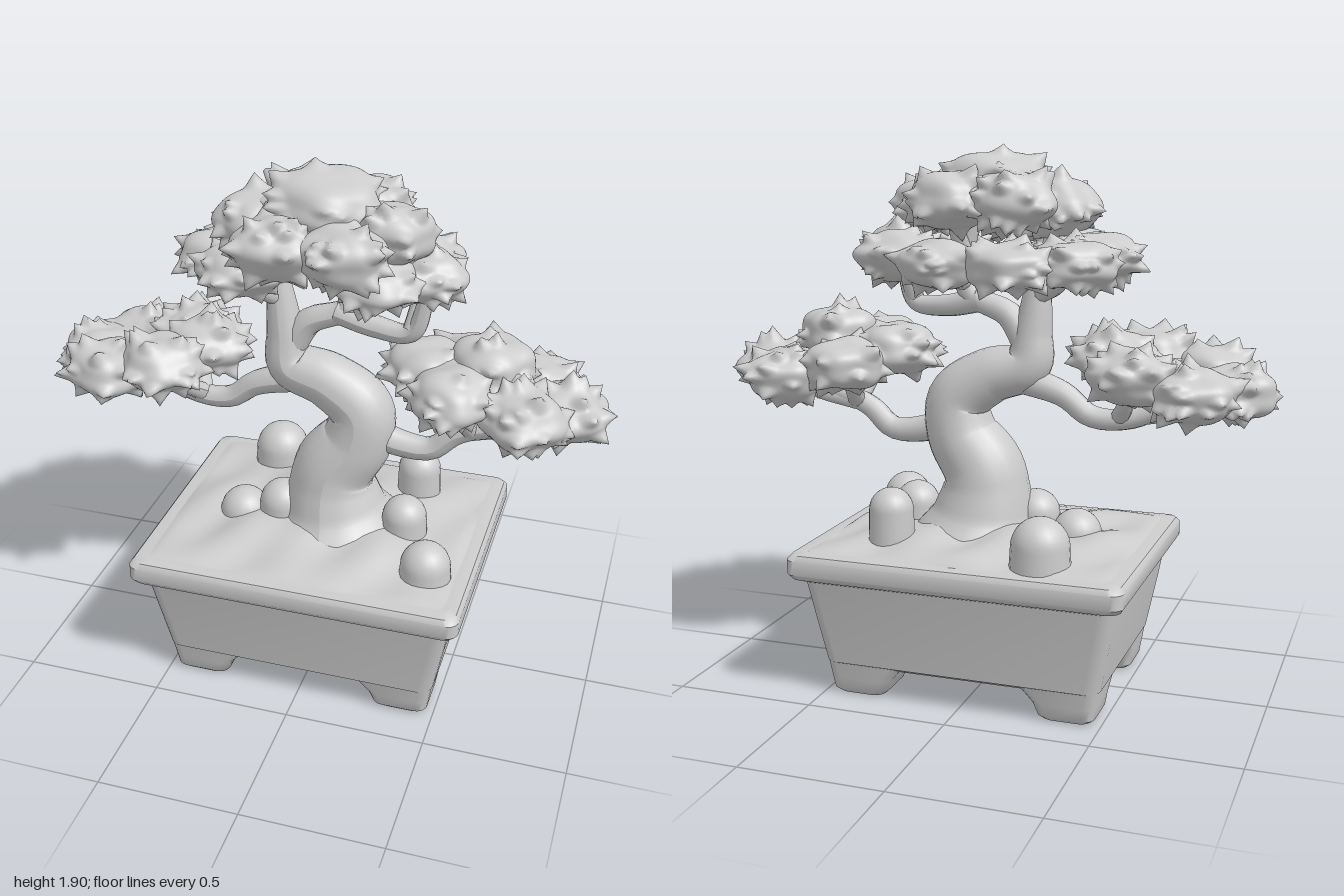
import * as THREE from 'three';
import { mergeVertices, toCreasedNormals } from 'three/addons/utils/BufferGeometryUtils.js';

const material = new THREE.MeshStandardMaterial({ color: 0xcccccc, roughness: 0.9 });

function seeded(seed) {
  let s = seed * 7919 + 17;
  return () => (s = (s * 16807) % 2147483647) / 2147483647;
}

function add(parent, name, geometry, x = 0, y = 0, z = 0) {
  const mesh = new THREE.Mesh(geometry, material);
  mesh.name = name;
  mesh.position.set(x, y, z);
  parent.add(mesh);
}

// Stack of rounded rectangles from bottom to top: [y, halfX, halfZ, centreX, centreZ]
function loft(sections, r) {
  const per = 6, n = per * 4, pos = [], index = [];
  for (const [y, hx, hz, cx = 0, cz = 0] of sections) {
    for (let i = 0; i < n; i++) {
      const q = Math.floor(i / per);
      const a = (q + (i % per) / (per - 1)) * Math.PI / 2;
      const sx = q === 0 || q === 3 ? 1 : -1, sz = q < 2 ? 1 : -1;
      pos.push(cx + sx * (hx - r) + r * Math.cos(a), y, cz + sz * (hz - r) + r * Math.sin(a));
    }
  }
  const last = (sections.length - 1) * n;
  for (let k = 0; k < last; k += n) {
    for (let i = 0; i < n; i++) {
      const j = (i + 1) % n;
      index.push(k + i, k + n + i, k + j, k + j, k + n + i, k + n + j);
    }
  }
  for (let i = 1; i < n - 1; i++) {
    index.push(0, i, i + 1, last, last + i + 1, last + i);
  }
  const g = new THREE.BufferGeometry();
  g.setAttribute('position', new THREE.Float32BufferAttribute(pos, 3));
  g.setIndex(index);
  return toCreasedNormals(g, 0.7);
}

// Tube through the points whose thickness follows the radii
function limb(points, radii, segments = 24, sides = 12) {
  const curve = new THREE.CatmullRomCurve3(points.map(p => new THREE.Vector3(...p)));
  const g = new THREE.TubeGeometry(curve, segments, 1, sides);
  const p = g.attributes.position, v = new THREE.Vector3();
  for (let i = 0; i <= segments; i++) {
    const c = curve.getPointAt(i / segments);
    const t = i / segments * (radii.length - 1), k = Math.min(Math.floor(t), radii.length - 2);
    const r = THREE.MathUtils.lerp(radii[k], radii[k + 1], t - k);
    for (let j = 0; j <= sides; j++) {
      const id = i * (sides + 1) + j;
      v.fromBufferAttribute(p, id).sub(c).multiplyScalar(r).add(c);
      p.setXYZ(id, v.x, v.y, v.z);
    }
  }
  g.computeVertexNormals();
  return g;
}

// Lumpy ellipsoid of leaves with pointed tips
function leafClump([rx, ry, rz], seed) {
  const rand = seeded(seed);
  let g = new THREE.IcosahedronGeometry(1, 13);
  g.deleteAttribute('normal');
  g.deleteAttribute('uv');
  g = mergeVertices(g);
  const p = g.attributes.position, tips = [], d = new THREE.Vector3();
  for (let i = 0; i < 28; i++) {
    tips.push({
      dir: new THREE.Vector3().fromBufferAttribute(p, Math.floor(rand() * p.count)),
      height: 0.025 + 0.025 * rand(),
    });
  }
  for (let i = 0; i < p.count; i++) {
    d.fromBufferAttribute(p, i).normalize();
    const lump = 1 + 0.08 * Math.sin(4 * d.x + seed) * Math.sin(5 * d.z + 2 * seed) + 0.04 * Math.sin(6 * d.y + seed);
    let tip = 0;
    for (const t of tips) {
      const a = 1 - d.angleTo(t.dir) / 0.3;
      if (a > 0) tip = Math.max(tip, t.height * Math.pow(a, 1.6));
    }
    p.setXYZ(i, d.x * (rx * lump + tip), d.y * (ry * lump + tip), d.z * (rz * lump + tip));
  }
  g.computeVertexNormals();
  return g;
}

// Clumps spaced around a tilted oval, every second one carried by a twig from the nearest anchor
function leafPad({ name, seed, count, start, step, centre, oval, tilt, size, anchors }) {
  const pad = new THREE.Group();
  pad.name = name;
  for (let i = 0; i < count; i++) {
    const a = THREE.MathUtils.degToRad(start + i * step);
    const dx = oval[0] * Math.cos(a), dz = oval[1] * Math.sin(a);
    const at = new THREE.Vector3(...centre).add(new THREE.Vector3(dx, tilt[0] * dx + tilt[1] * dz, dz));
    add(pad, 'leafClump', leafClump(size, seed + i), ...at);
    if (i % 2 === 0) {
      const [from] = anchors.map(p => new THREE.Vector3(...p)).sort((p, q) => p.distanceTo(at) - q.distanceTo(at));
      const bend = from.clone().lerp(at, 0.55);
      bend.y -= 0.025;
      add(pad, 'twig', limb([from.toArray(), bend.toArray(), at.toArray()], [0.033, 0.028, 0.02], 14, 10));
    }
  }
  return pad;
}

function createPot() {
  const pot = new THREE.Group();
  pot.name = 'pot';
  add(pot, 'potBody', loft([[0.1, 0.46, 0.35], [0.12, 0.495, 0.385], [0.3, 0.53, 0.41], [0.45, 0.555, 0.435]], 0.05));
  add(pot, 'potRim', loft([
    [0.42, 0.55, 0.43], [0.435, 0.58, 0.465], [0.455, 0.593, 0.48],
    [0.505, 0.593, 0.48], [0.522, 0.58, 0.467], [0.526, 0.55, 0.44],
  ], 0.04));
  for (const sx of [-1, 1]) {
    for (const sz of [-1, 1]) {
      add(pot, 'foot', loft([
        [0, 0.085, 0.09, sx * 0.375, sz * 0.26], [0.015, 0.1, 0.105, sx * 0.375, sz * 0.26],
        [0.06, 0.112, 0.112, sx * 0.37, sz * 0.26], [0.13, 0.148, 0.141, sx * 0.345, sz * 0.241],
      ], 0.04));
    }
  }
  return pot;
}

// Gently uneven ground that rises towards the trunk
function createSoil() {
  const g = new THREE.PlaneGeometry(1.08, 0.86, 48, 40).rotateX(-Math.PI / 2);
  const p = g.attributes.position;
  for (let i = 0; i < p.count; i++) {
    const x = p.getX(i), z = p.getZ(i);
    const edge = Math.max(0, (1 - (x / 0.54) ** 2) * (1 - (z / 0.43) ** 2));
    const bumps = 0.02 * Math.sin(13 * x + 1) * Math.cos(15 * z) + 0.01 * Math.sin(25 * x + 9 * z);
    const mound = 0.07 * Math.exp(-((x - 0.03) ** 2 + z * z) / 0.05);
    p.setY(i, 0.524 + Math.sqrt(edge) * (0.035 + bumps) + mound);
  }
  g.computeVertexNormals();
  return g;
}

// Upright stone with a round top, rising from inside the pot
function stoneGeometry(top, r) {
  const profile = [new THREE.Vector2(r * 1.06, 0.5)];
  for (let i = 0; i <= 10; i++) {
    const a = i / 10 * Math.PI / 2;
    profile.push(new THREE.Vector2(r * Math.cos(a), top - r + r * Math.sin(a)));
  }
  return new THREE.LatheGeometry(profile, 20);
}

export function createModel() {
  const model = new THREE.Group();
  model.name = 'bonsai';
  model.add(createPot());
  add(model, 'soil', createSoil());

  // Stones: x, z, top, radius
  for (const [x, z, top, r] of [
    [0.43, 0.25, 0.66, 0.088], [0.29, -0.24, 0.73, 0.078], [0.3, 0.03, 0.69, 0.08],
    [-0.28, -0.33, 0.7, 0.1], [-0.15, 0.05, 0.69, 0.085], [-0.3, 0.05, 0.63, 0.09],
  ]) add(model, 'stone', stoneGeometry(top, r), x, 0, z);

  // S-shaped trunk, flared at the foot
  add(model, 'trunk', limb(
    [[0.04, 0.5, 0], [0.03, 0.75, 0], [0.115, 0.89, 0], [0.125, 1.01, 0], [0.01, 1.1, 0],
      [-0.13, 1.15, 0], [-0.15, 1.27, 0], [-0.17, 1.46, 0]],
    [0.27, 0.185, 0.155, 0.14, 0.125, 0.115, 0.105, 0.095, 0.085, 0.068, 0.055, 0.04], 60, 20));

  // Main branches
  const taper = [0.055, 0.042, 0.036, 0.025];
  add(model, 'rightBranch', limb([[-0.1, 1.1, 0], [-0.26, 1.05, 0], [-0.36, 0.98, 0], [-0.5, 0.98, 0], [-0.7, 1.07, 0]], taper));
  add(model, 'leftBranch', limb([[0.14, 0.93, 0], [0.28, 0.89, 0], [0.38, 0.89, 0], [0.48, 0.97, 0], [0.8, 1.06, 0]], taper));
  add(model, 'crownBranch', limb([[-0.13, 1.22, 0], [-0.06, 1.32, 0], [0.07, 1.38, 0], [0.11, 1.46, 0], [0.05, 1.7, 0]], taper));
  add(model, 'crownSideBranch', limb([[0.04, 1.37, 0], [0.18, 1.34, 0.02], [0.31, 1.35, 0.05], [0.36, 1.5, 0.06]], [0.045, 0.035, 0.025]));

  // Foliage
  model.add(leafPad({
    name: 'leftPad', seed: 1, count: 6, start: 0, step: 60, centre: [0.59, 1.14, -0.025], oval: [0.24, 0.185],
    tilt: [-0.19, 0.1], size: [0.14, 0.095, 0.145], anchors: [[0.41, 0.91, 0], [0.52, 0.98, 0]],
  }));
  model.add(leafPad({
    name: 'rightPad', seed: 11, count: 6, start: 180, step: 60, centre: [-0.64, 1.14, 0.01], oval: [0.205, 0.195],
    tilt: [0.23, 0.06], size: [0.145, 0.092, 0.14], anchors: [[-0.34, 1, 0], [-0.46, 0.98, 0]],
  }));
  model.add(leafPad({
    name: 'lowerCrown', seed: 21, count: 8, start: 130, step: 40, centre: [-0.025, 1.53, -0.045], oval: [0.36, 0.225],
    tilt: [0.02, 0.08], size: [0.145, 0.082, 0.135], anchors: [[-0.16, 1.39, 0], [0.31, 1.36, 0.05], [0.1, 1.43, 0]],
  }));
  model.add(leafPad({
    name: 'upperCrown', seed: 31, count: 6, start: 60, step: 60, centre: [0.005, 1.69, 0.055], oval: [0.22, 0.185],
    tilt: [0, -0.14], size: [0.145, 0.1, 0.125], anchors: [[-0.17, 1.43, 0], [0.09, 1.5, 0]],
  }));
  add(model, 'crownTop', leafClump([0.19, 0.1, 0.18], 41), 0, 1.77, 0.03);
  add(model, 'leftPadTop', leafClump([0.14, 0.095, 0.14], 42), 0.57, 1.235, -0.02);
  return model;
}
